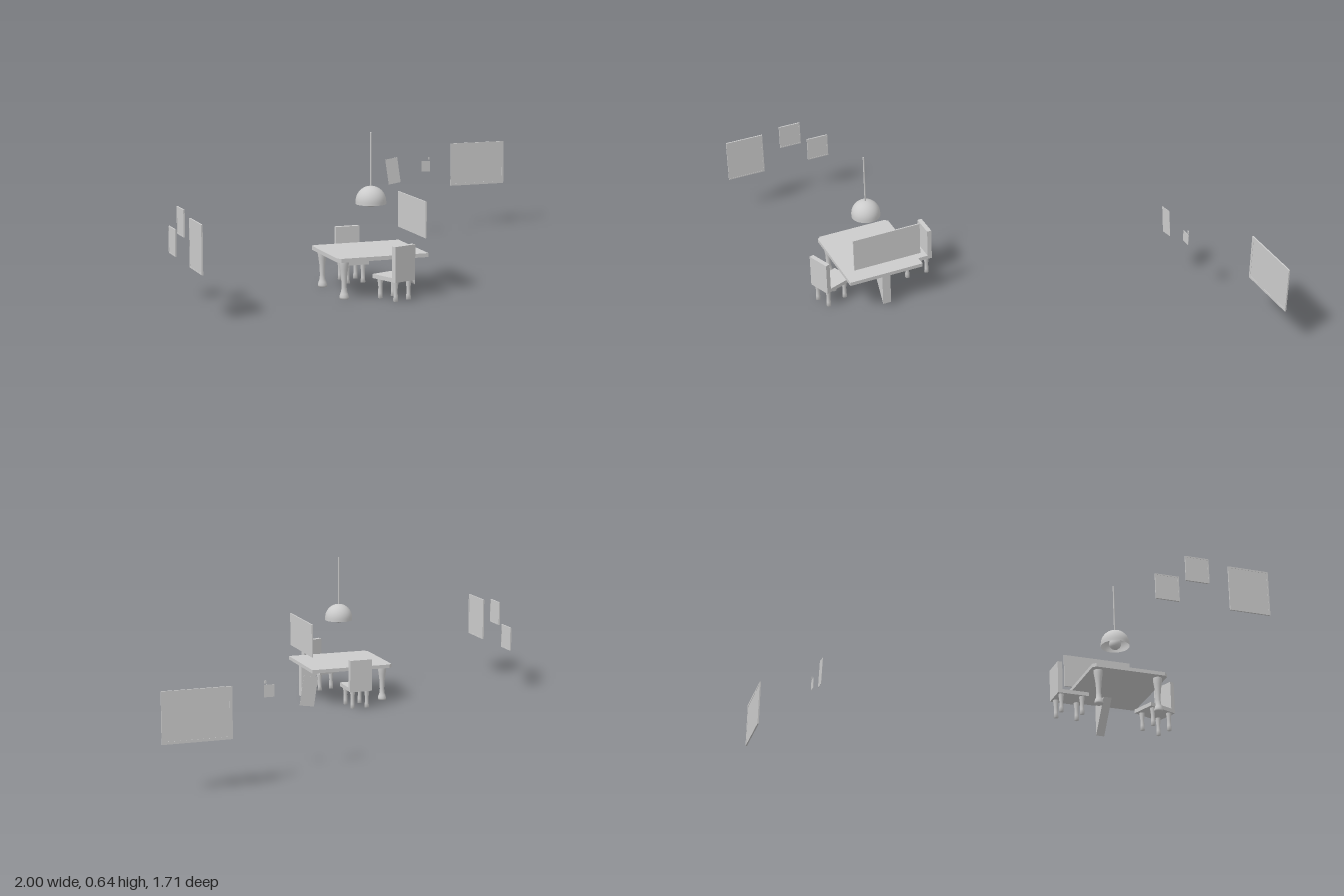
import * as THREE from 'three';

const grey = new THREE.MeshStandardMaterial({ color: 0xcccccc, side: THREE.DoubleSide });

function add(parent, name, geometry, x = 0, y = 0, z = 0) {
  const mesh = new THREE.Mesh(geometry, grey);
  mesh.name = name;
  mesh.position.set(x, y, z);
  parent.add(mesh);
  return mesh;
}

const box = (w, h, d) => new THREE.BoxGeometry(w, h, d);
const lathe = (points, sides = 16) =>
  new THREE.LatheGeometry(points.map(([r, y]) => new THREE.Vector2(r, y)), sides);

function makeGroup(parent, name, x, y, z, turn = 0) {
  const group = new THREE.Group();
  group.name = name;
  group.position.set(x, y, z);
  group.rotation.y = turn;
  parent.add(group);
  return group;
}

// Chair facing +z, centred on its seat
function addChair(parent, x, z, turn) {
  const chair = makeGroup(parent, 'chair', x, 0, z, turn);
  add(chair, 'seat', box(0.104, 0.017, 0.137), 0, 0.087, 0);
  add(chair, 'backrest', box(0.104, 0.143, 0.02), 0, 0.15, -0.0585);
  const leg = lathe([[0, 0], [0.01, 0], [0.009, 0.02], [0.008, 0.045], [0.012, 0.079]], 12);
  for (const sx of [-1, 1])
    for (const lz of [-0.049, 0.043]) add(chair, 'chairLeg', leg, sx * 0.034, 0, lz);
}

// Picture facing +z: raised frame around a thin panel
function addPicture(parent, name, w, h, border, x, y, z, turn = 0) {
  const picture = makeGroup(parent, name, x, y, z, turn);
  const depth = 0.006;
  const rect = (Type, a, b) => new Type([
    new THREE.Vector2(-a / 2, -b / 2), new THREE.Vector2(a / 2, -b / 2),
    new THREE.Vector2(a / 2, b / 2), new THREE.Vector2(-a / 2, b / 2)]);
  const outline = rect(THREE.Shape, w, h);
  outline.holes.push(rect(THREE.Path, w - 2 * border, h - 2 * border));
  const frame = new THREE.ExtrudeGeometry(outline, { depth, bevelEnabled: false });
  add(picture, 'frame', frame, 0, 0, -depth / 2);
  add(picture, 'panel', box(w - 2 * border, h - 2 * border, 0.004));
}

function addTable(parent) {
  const table = makeGroup(parent, 'table', 0, 0, 0);
  // Top with clipped corners on the free end
  const x0 = -0.393, x1 = -0.009, z0 = 0.332, z1 = 0.666, c = 0.014;
  const shape = new THREE.Shape([
    [x0 + c, -z1], [x1, -z1], [x1, -z0], [x0 + c, -z0], [x0, -z0 - c], [x0, -z1 + c],
  ].map(([x, y]) => new THREE.Vector2(x, y)));
  const top = new THREE.ExtrudeGeometry(shape, { depth: 0.016, bevelEnabled: false });
  top.rotateX(-Math.PI / 2);
  add(table, 'tableTop', top, 0, 0.152, 0);

  // Turned legs under the free end
  const leg = lathe([[0, 0], [0.018, 0], [0.019, 0.008], [0.016, 0.02], [0.012, 0.03],
    [0.01, 0.05], [0.012, 0.09], [0.016, 0.12], [0.019, 0.14], [0.019, 0.153]]);
  for (const z of [0.367, 0.632]) add(table, 'tableLeg', leg, -0.356, 0, z);

  // Triangular bracket under the wall end
  const triangle = new THREE.Shape([
    new THREE.Vector2(-0.112, 0.153), new THREE.Vector2(-0.009, 0.013),
    new THREE.Vector2(-0.009, 0.153)]);
  add(table, 'wallBracket',
    new THREE.ExtrudeGeometry(triangle, { depth: 0.037, bevelEnabled: false }), 0, 0, 0.483);
}

function addLamp(parent) {
  const lamp = makeGroup(parent, 'pendantLamp', -0.197, 0, 0.509);
  add(lamp, 'cable', new THREE.CylinderGeometry(0.0035, 0.0035, 0.22, 8), 0, 0.535, 0);
  // Open dome with a short straight rim
  const dome = [[0.062, 0.355]];
  for (let i = 0; i <= 12; i++) {
    const a = (i / 12) * Math.PI / 2;
    dome.push([0.062 * Math.cos(a), 0.366 + 0.062 * Math.sin(a)]);
  }
  add(lamp, 'shade', lathe(dome, 32));
  add(lamp, 'bulb', new THREE.SphereGeometry(0.026, 20, 14), 0, 0.367, 0);
  add(lamp, 'socket', new THREE.CylinderGeometry(0.01, 0.01, 0.04, 12), 0, 0.405, 0);
}

export function createModel() {
  const model = new THREE.Group();
  model.name = 'diningCorner';

  addTable(model);
  addChair(model, -0.202, 0.294, 0);
  addChair(model, -0.168, 0.693, Math.PI + 0.353);
  addLamp(model);

  // Wide panel above the wall end of the table
  add(model, 'wallPanel', box(0.006, 0.148, 0.304), -0.012, 0.299, 0.493);

  // Pictures on the right wall
  const side = Math.PI / 2;
  addPicture(model, 'largeSidePicture', 0.172, 0.192, 0.006, -0.997, 0.274, 0.769, side);
  addPicture(model, 'upperSidePicture', 0.1, 0.108, 0.005, -0.997, 0.334, 0.55, side);
  addPicture(model, 'lowerSidePicture', 0.1, 0.108, 0.005, -0.997, 0.236, 0.419, side);

  // Big picture at the back
  addPicture(model, 'backPicture', 0.278, 0.206, 0.011, 0.859, 0.297, -0.853);

  // Pinned papers
  const sheet = add(model, 'tiltedPaper', box(0.06, 0.12, 0.001), 0.347, 0.31, -0.658);
  sheet.rotation.z = 0.15;
  add(model, 'smallPaper', box(0.043, 0.05, 0.001), 0.511, 0.324, -0.658);
  add(model, 'pin', box(0.008, 0.012, 0.003), 0.527, 0.361, -0.658);

  return model;
}
